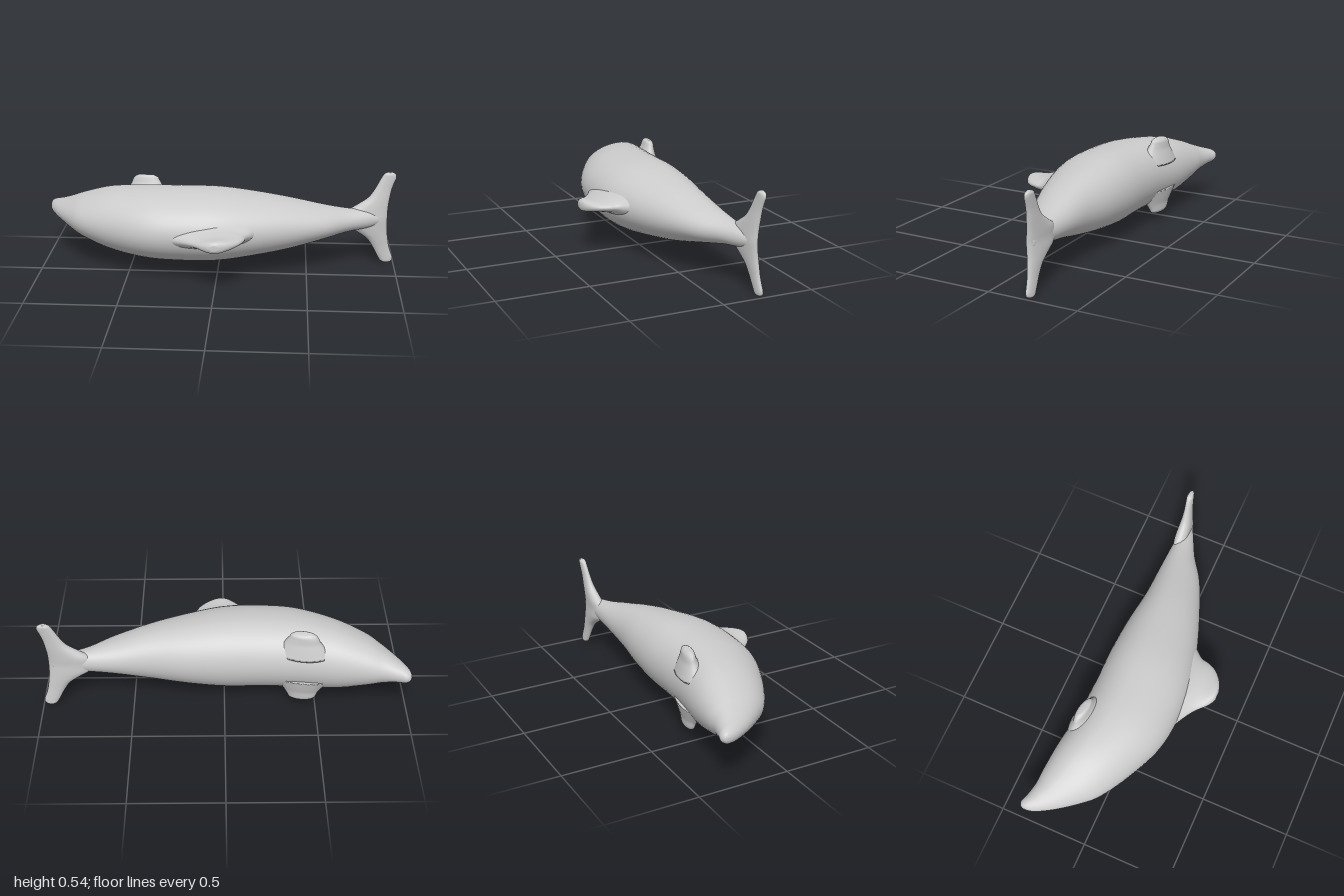
import * as THREE from 'three';

const MID = 0.27; // height of the symmetry plane

// Smooth interpolation of a table of stations at parameter t (0..1)
function sample(table, t) {
  const n = table.length - 1;
  const i = Math.min(Math.floor(t * n), n - 1), f = t * n - i;
  const [a, b, c, d] = [i - 1, i, i + 1, i + 2].map((k) => table[Math.max(0, Math.min(n, k))]);
  return b.map((_, k) => b[k] + 0.5 * f * (c[k] - a[k]
    + f * (2 * a[k] - 5 * b[k] + 4 * c[k] - d[k] + f * (3 * (b[k] - c[k]) + d[k] - a[k]))));
}

// Closed loft. Station: [s along the axis, low edge, high edge, half thickness].
// peak is the fraction of the chord where the section is thickest.
function loft(name, table, place, material, { peak = 0.5, rings = 40, sides = 32 } = {}) {
  const pos = [], index = [];
  for (let r = 0; r <= rings; r++) {
    const [s, lo, hi, half] = sample(table, r / rings);
    const centre = lo + (hi - lo) * peak;
    for (let j = 0; j < sides; j++) {
      const a = (j / sides) * Math.PI * 2, c = Math.cos(a);
      const chord = centre + c * (c > 0 ? hi - centre : centre - lo);
      pos.push(...place(s, chord, half * Math.sin(a)));
    }
  }
  for (let r = 0; r < rings; r++) {
    for (let j = 0; j < sides; j++) {
      const a = r * sides + j, b = r * sides + (j + 1) % sides;
      index.push(a, b, a + sides, b, b + sides, a + sides);
    }
  }
  // end caps
  for (const r of [0, rings]) {
    const [s, lo, hi] = sample(table, r / rings);
    const tip = pos.length / 3, o = r * sides;
    pos.push(...place(s, lo + (hi - lo) * peak, 0));
    for (let j = 0; j < sides; j++) {
      const a = o + j, b = o + (j + 1) % sides;
      index.push(tip, ...(r ? [a, b] : [b, a]));
    }
  }
  // turn the faces outward whatever the axis order
  const p = (i) => new THREE.Vector3().fromArray(pos, i * 3);
  let volume = 0;
  for (let i = 0; i < index.length; i += 3) {
    volume += p(index[i]).dot(p(index[i + 1]).cross(p(index[i + 2])));
  }
  if (volume < 0) index.reverse();

  const geometry = new THREE.BufferGeometry();
  geometry.setAttribute('position', new THREE.Float32BufferAttribute(pos, 3));
  geometry.setIndex(index);
  geometry.computeVertexNormals();
  const mesh = new THREE.Mesh(geometry, material);
  mesh.name = name;
  return mesh;
}

export function createModel() {
  const group = new THREE.Group();
  group.name = 'whale';
  const material = new THREE.MeshStandardMaterial({ color: 0xcccccc });

  // Body lying on its side: x, belly z, back z, half width
  const body = [
    [-1.0, -0.345, -0.32, 0.01], [-0.99, -0.363, -0.285, 0.028], [-0.965, -0.37, -0.235, 0.043],
    [-0.92, -0.355, -0.165, 0.06], [-0.85, -0.34, -0.075, 0.09], [-0.77, -0.337, 0.005, 0.125],
    [-0.61, -0.325, 0.1, 0.175], [-0.4, -0.297, 0.19, 0.2], [-0.2, -0.287, 0.215, 0.206],
    [0.0, -0.287, 0.205, 0.204], [0.2, -0.275, 0.155, 0.178], [0.4, -0.25, 0.085, 0.142],
    [0.6, -0.242, 0.0, 0.093], [0.73, -0.236, -0.085, 0.066], [0.85, -0.228, -0.145, 0.05],
    [0.93, -0.224, -0.185, 0.025],
  ];
  group.add(loft('body', body, (s, c, h) => [s, MID + h, c], material,
    { peak: 0.4, rings: 75, sides: 48 }));

  // Tail flukes, from one tip to the other: y offset, leading x, trailing x, half thickness
  const lobe = [
    [0.035, 0.72, 0.955, 0.036], [0.075, 0.775, 0.957, 0.032], [0.12, 0.84, 0.963, 0.026],
    [0.17, 0.876, 0.972, 0.021], [0.21, 0.897, 0.985, 0.019], [0.24, 0.913, 0.996, 0.018],
    [0.26, 0.927, 0.992, 0.017], [0.27, 0.945, 0.975, 0.01],
  ];
  const flukes = [...lobe.map(([y, ...rest]) => [-y, ...rest]).reverse(), ...lobe];
  const flukeZ = (y) => -0.2 - 0.07 * Math.abs(y);
  group.add(loft('tailFlukes', flukes, (s, c, h) => [c, MID + s, flukeZ(s) + h], material,
    { peak: 0.4, rings: 60, sides: 28 }));

  // Dorsal fin, flared into the back: z, front x, rear x, half thickness
  const dorsal = [
    [0.08, -0.42, 0.28, 0.12], [0.16, -0.34, 0.2, 0.08], [0.2, -0.26, 0.168, 0.056],
    [0.235, -0.195, 0.16, 0.044], [0.27, -0.14, 0.147, 0.036], [0.3, -0.105, 0.128, 0.034],
    [0.33, -0.075, 0.095, 0.034], [0.35, -0.045, 0.06, 0.03], [0.36, -0.02, 0.025, 0.016],
  ];
  group.add(loft('dorsalFin', dorsal, (s, c, h) => [c, MID + s * 0.02 + c * 0.06 + h, s], material));

  // Stubby flippers: distance from the mid plane, front x, rear x, half thickness
  const flipper = [
    [0.09, -0.57, -0.27, 0.07], [0.14, -0.53, -0.31, 0.05], [0.17, -0.51, -0.33, 0.037],
    [0.195, -0.5, -0.345, 0.031], [0.212, -0.485, -0.355, 0.026], [0.223, -0.46, -0.38, 0.014],
  ];
  for (const [name, side] of [['upperFlipper', 1], ['lowerFlipper', -1]]) {
    group.add(loft(name, flipper, (s, c, h) =>
      [c, MID + side * (s + h * 0.25), -0.225 - 0.1 * s + 0.15 * (c + 0.42) + h], material,
    { rings: 20, sides: 24 }));
  }
  return group;
}
